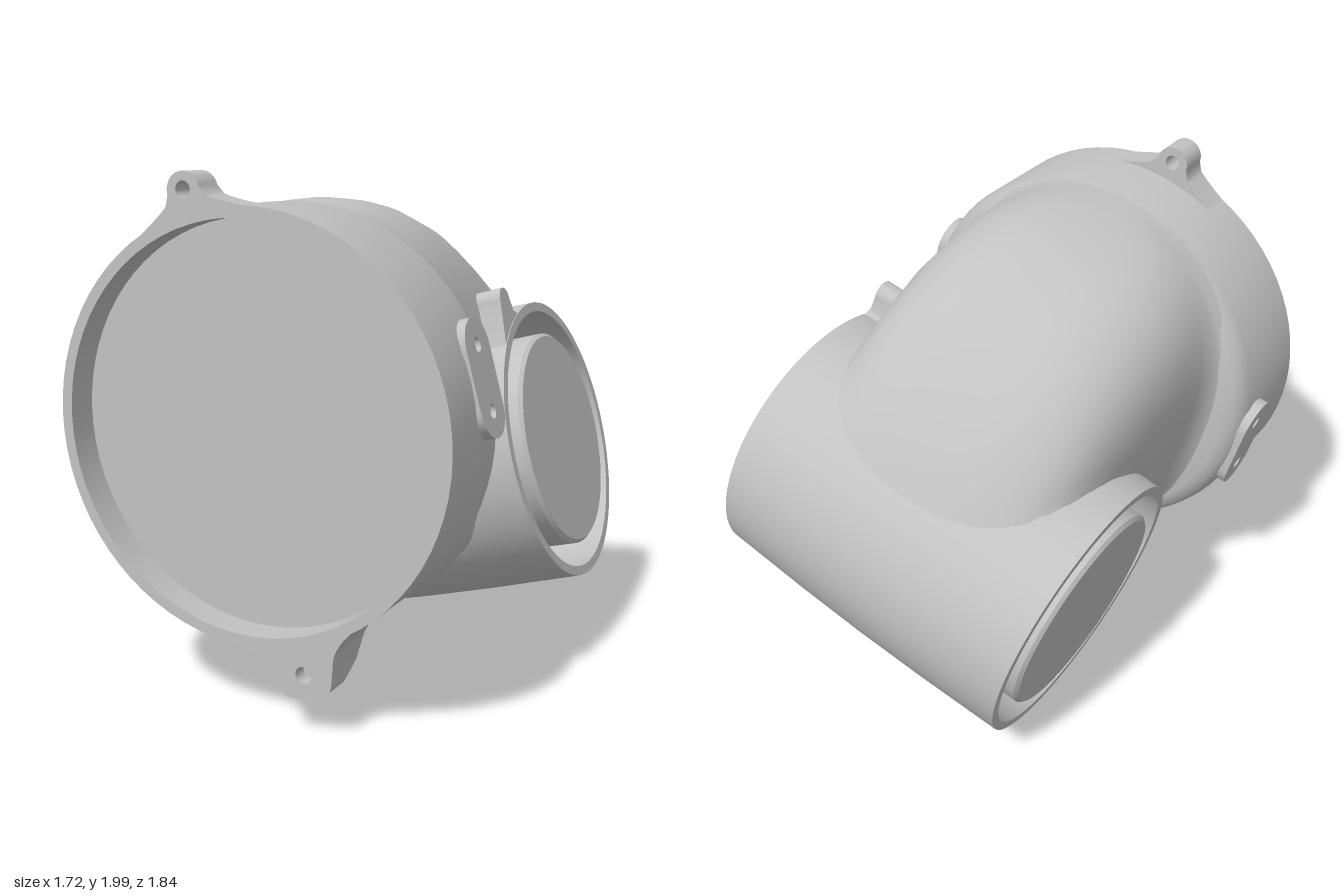
import * as THREE from 'three';
import { toCreasedNormals } from 'three/addons/utils/BufferGeometryUtils.js';

const grey = new THREE.MeshStandardMaterial({ color: 0xc2c2c2 });
grey.name = 'grey';

const TUBE_Y = -0.383, TUBE_Z = -0.34;

function part(name, geometry, crease = 0.6) {
  const mesh = new THREE.Mesh(toCreasedNormals(geometry, crease), grey);
  mesh.name = name;
  return mesh;
}

const lathe = (pts) => new THREE.LatheGeometry(pts.map(([r, h]) => new THREE.Vector2(r, h)), 72);

function addHole(shape, x, y, r) {
  const hole = new THREE.Path();
  hole.absarc(x, y, r, 0, Math.PI * 2, true);
  shape.holes.push(hole);
}

const extrude = (shape, depth, steps = 1) =>
  new THREE.ExtrudeGeometry(shape, { depth, steps, bevelEnabled: false, curveSegments: 16 });

// Rounded ear whose flared foot follows a round wall of radius r centred on (cx, cy)
function earShape(tipY, tipR, footHalf, cx, cy, r) {
  const wallY = (x) => cy + Math.sqrt(r * r - (x - cx) ** 2);
  const wallAngle = (x) => Math.atan2(wallY(x) - cy, x - cx);
  const neckY = wallY(0) + (tipY - wallY(0)) * 0.55;
  const bend = tipR * 1.75;
  const s = new THREE.Shape();
  s.absarc(cx, cy, r, wallAngle(-footHalf), wallAngle(footHalf), true);
  s.quadraticCurveTo(bend, wallY(bend) + 0.03, tipR * 1.3, neckY);
  s.lineTo(tipR, tipY);
  s.absarc(0, tipY, tipR, 0, Math.PI, false);
  s.lineTo(-tipR * 1.3, neckY);
  s.quadraticCurveTo(-bend, wallY(-bend) + 0.03, -footHalf, wallY(-footHalf));
  return s;
}

// Elbow skin through superellipse sections: [z, half width, top, bottom, upper exponent]
function elbowGeometry() {
  const rows = [
    [0.56, 0.78, 0.785, -0.785, 2], [0.50, 0.745, 0.785, -0.785, 2.05],
    [0.46, 0.67, 0.785, -0.785, 2.25], [0.42, 0.625, 0.785, -0.785, 2.45],
    [0.34, 0.605, 0.783, -0.785, 2.65], [0.2, 0.595, 0.763, -0.79, 2.9],
    [0.1, 0.59, 0.742, -0.8, 3], [0, 0.585, 0.71, -0.8, 3],
    [-0.1, 0.58, 0.67, -0.8, 3.1], [-0.2, 0.57, 0.618, -0.8, 3.1],
    [-0.3, 0.565, 0.55, -0.8, 3.1], [-0.4, 0.56, 0.468, -0.8, 3.1],
    [-0.5, 0.55, 0.368, -0.78, 3], [-0.6, 0.54, 0.25, -0.72, 2.8],
    [-0.68, 0.52, 0.135, -0.65, 2.6], [-0.75, 0.48, 0.02, -0.6, 2.5],
  ];
  const n = 96, pos = [], inside = [], index = [];
  const pow = (v, e) => Math.sign(v) * Math.abs(v) ** (2 / e);
  for (const [z, w, top, bottom, upper] of rows) {
    for (let i = 0; i < n; i++) {
      const a = (i / n) * Math.PI * 2;
      const e = a < Math.PI ? upper : Math.min(upper, 2.35);
      const y = (top + bottom) / 2 + ((top - bottom) / 2) * pow(Math.sin(a), e);
      // Points within the cross tube move out into its wall, leaving the bore clear
      const r = Math.hypot(y - TUBE_Y, z - TUBE_Z);
      const k = Math.max(1, 0.55 / r);
      inside.push(k > 1);
      pos.push(w * pow(Math.cos(a), e), TUBE_Y + (y - TUBE_Y) * k, TUBE_Z + (z - TUBE_Z) * k);
    }
  }
  const face = (...f) => { if (!f.every((v) => inside[v])) index.push(...f); };
  for (let r = 0; r < rows.length - 1; r++) {
    for (let i = 0; i < n; i++) {
      const a = r * n + i, b = r * n + ((i + 1) % n), c = a + n, d = b + n;
      face(a, c, b);
      face(b, c, d);
    }
  }
  const g = new THREE.BufferGeometry();
  g.setAttribute('position', new THREE.Float32BufferAttribute(pos, 3));
  g.setIndex(index);
  return g;
}

export function createModel() {
  const model = new THREE.Group();
  model.name = 'pipeElbowHousing';
  const body = new THREE.Group();
  body.name = 'tiltedBody';
  body.position.set(-0.035, 1.1, 0);
  body.rotation.z = THREE.MathUtils.degToRad(15);
  model.add(body);

  // Large front collar with a recessed cover
  body.add(part('frontCollar', lathe([
    [0.6, 0.44], [0.71, 0.445], [0.75, 0.465], [0.775, 0.495], [0.787, 0.54],
    [0.787, 0.92], [0.745, 0.92], [0.745, 0.8], [0, 0.8],
  ]).rotateX(Math.PI / 2)));

  body.add(part('elbow', elbowGeometry(), 1));

  // Cross tube, slightly barrelled, with a plug in each deep open end
  const half = [
    [0, 0.688], [0.422, 0.688], [0.436, 0.674], [0.436, 0.25], [0.53, 0.25],
    [0.53, 0.673], [0.567, 0.673], [0.577, 0.3],
  ];
  const profile = [...half.map(([r, h]) => [r, -h]), [0.58, 0], ...[...half].reverse()];
  const tube = part('crossTube', lathe(profile).rotateZ(-Math.PI / 2));
  tube.position.set(0, TUBE_Y, TUBE_Z);
  body.add(tube);

  // Ear at the top of the collar
  const topEar = earShape(0.862, 0.066, 0.27, 0, 0, 0.78);
  addHole(topEar, 0, 0.865, 0.03);
  body.add(part('topEar', extrude(topEar, 0.12).translate(0, 0, 0.8)));

  // Blunt foot at the bottom of the collar, chamfered at the back
  const foot = new THREE.Shape();
  foot.moveTo(-0.3, -0.72);
  foot.quadraticCurveTo(-0.17, -0.77, -0.135, -0.84);
  foot.lineTo(-0.1, -0.935);
  foot.quadraticCurveTo(-0.09, -0.964, -0.06, -0.964);
  foot.lineTo(0.06, -0.964);
  foot.quadraticCurveTo(0.09, -0.964, 0.1, -0.935);
  foot.lineTo(0.135, -0.84);
  foot.quadraticCurveTo(0.17, -0.77, 0.3, -0.72);
  foot.absarc(0, 0, 0.78, Math.atan2(-0.72, 0.3), Math.atan2(-0.72, -0.3), true);
  addHole(foot, 0, -0.884, 0.032);
  const footGeo = extrude(foot, 0.23, 2).translate(0, 0, 0.69);
  const p = footGeo.attributes.position;
  for (let i = 0; i < p.count; i++) {
    if (p.getZ(i) < 0.7 && p.getY(i) < -0.93) p.setY(i, p.getY(i) + 0.04);
  }
  body.add(part('bottomFoot', footGeo));

  // Floor of the blind hole in the foot
  const plug = part('footHoleFloor', new THREE.CylinderGeometry(0.033, 0.033, 0.17, 24).rotateX(Math.PI / 2));
  plug.position.set(0, -0.884, 0.776);
  body.add(plug);

  // Drilled pads on both sides of the collar
  const pad = new THREE.Shape();
  pad.absarc(0, 0.107, 0.105, 0, Math.PI, false);
  pad.absarc(0, -0.107, 0.105, Math.PI, Math.PI * 2, false);
  for (const y of [-0.117, 0.117]) addHole(pad, 0, y, 0.026);
  for (const side of [1, -1]) {
    const geo = extrude(pad, 0.2).translate(0, 0, 0.597).rotateY((side * Math.PI) / 2);
    const mesh = part(side > 0 ? 'leftPad' : 'rightPad', geo);
    mesh.position.z = 0.595;
    body.add(mesh);
  }

  // Small ear standing on the rim of the cross tube
  const earZ = -0.08;
  const ear = earShape(0.225, 0.05, 0.105, earZ - TUBE_Z, TUBE_Y, 0.555);
  const tubeEar = part('tubeEar', extrude(ear, 0.225).rotateY(Math.PI / 2));
  tubeEar.position.set(0.445, 0, earZ);
  body.add(tubeEar);

  return model;
}
